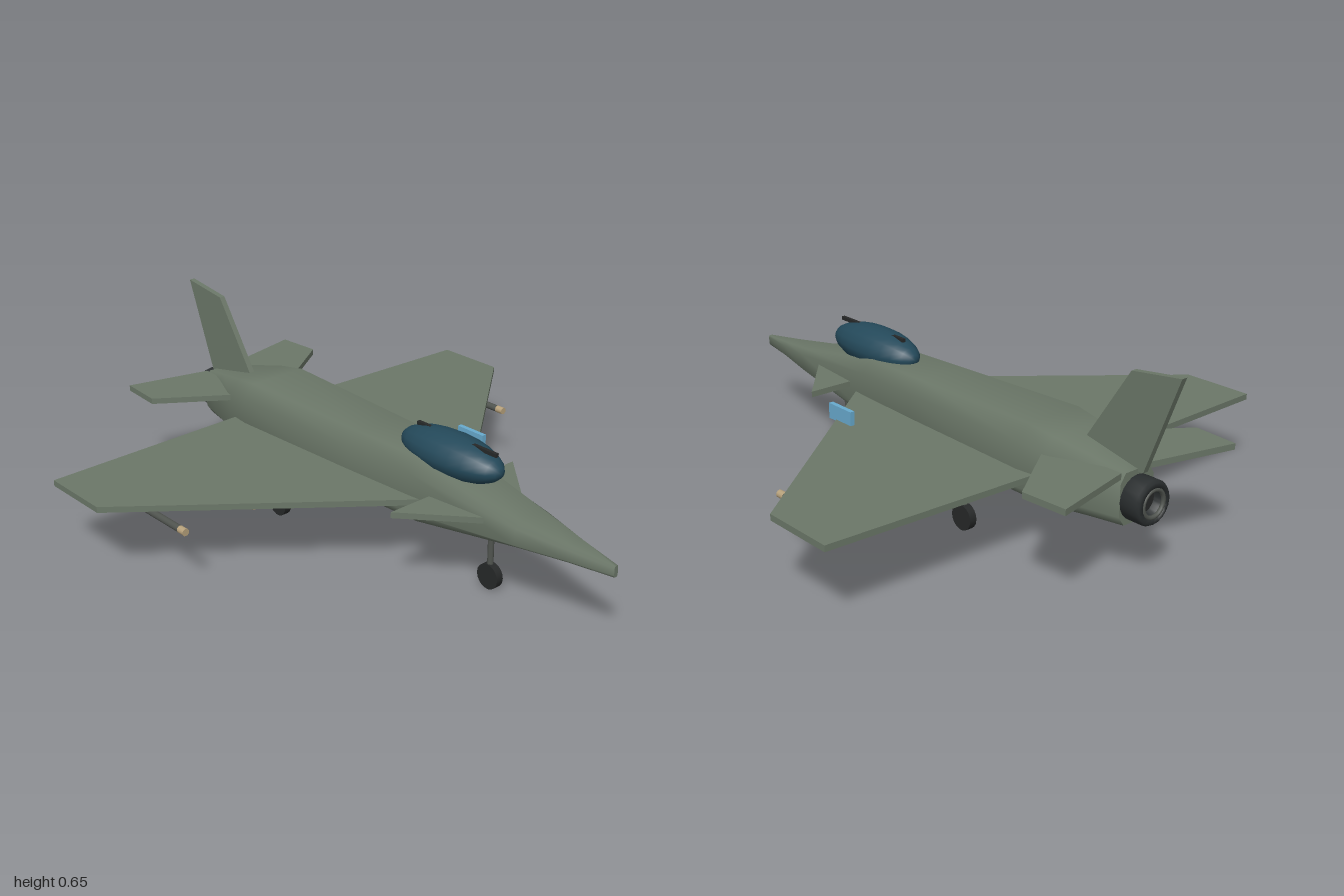
import * as THREE from 'three';

const mat = (color, side = THREE.FrontSide) => new THREE.MeshStandardMaterial({ color, side });
const olive = mat(0x6b7768);
const oliveDark = mat(0x4a5448);
const glass = mat(0x24495a);
const steel = mat(0x50544f);
const black = mat(0x262828);
const nozzleDark = mat(0x2b2f30, THREE.DoubleSide);
const tan = mat(0xb8a27c);
const blue = mat(0x68aace);

export function createModel() {
  const model = new THREE.Group();

  const add = (name, geometry, material, x = 0, y = 0, z = 0, parent = model) => {
    const mesh = new THREE.Mesh(geometry, material);
    mesh.name = name;
    mesh.position.set(x, y, z);
    parent.add(mesh);
    return mesh;
  };
  const ellipsoid = (rx, ry, rz) => new THREE.SphereGeometry(1, 16, 12).rotateX(Math.PI / 2).scale(rx, ry, rz);
  const rod = (r, length) => new THREE.CylinderGeometry(r, r, length, 12).rotateX(Math.PI / 2);
  const extrude = (points, depth) => new THREE.ExtrudeGeometry(
    new THREE.Shape(points.map(([a, b]) => new THREE.Vector2(a, b))), { depth, bevelEnabled: false });
  // Flat horizontal panel from [x, z] corners
  const plate = (points, side, thickness = 0.02) =>
    extrude(points.map(([x, z]) => [x * side, -z]), thickness).rotateX(-Math.PI / 2);

  // Fuselage: octagonal sections [z, half width, bottom, top]
  const sections = [
    [1.0, 0.008, 0.24, 0.276],
    [0.85, 0.04, 0.235, 0.291],
    [0.68, 0.076, 0.223, 0.312],
    [0.27, 0.117, 0.165, 0.388],
    [0.0, 0.132, 0.165, 0.392],
    [-0.52, 0.152, 0.165, 0.402],
    [-0.62, 0.14, 0.167, 0.387],
    [-0.75, 0.1, 0.172, 0.36],
    [-0.86, 0.07, 0.175, 0.338],
  ];
  const N = 8;
  const rings = sections.map(([z, w, b, t]) => {
    const cx = w * 0.3, cy = (t - b) * 0.19;
    return [[w, b + cy], [w, t - cy], [w - cx, t], [cx - w, t], [-w, t - cy], [-w, b + cy], [cx - w, b], [w - cx, b]]
      .map(([x, y]) => [x, y, z]);
  });
  const pos = rings.flat(2);
  const index = [];
  for (let s = 0; s < rings.length - 1; s++) {
    for (let i = 0; i < N; i++) {
      const a = s * N + i, b = s * N + (i + 1) % N;
      index.push(a, a + N, b, b, a + N, b + N);
    }
  }
  // End caps with their own vertices
  [[rings[0], 1], [rings[rings.length - 1], -1]].forEach(([ring, dir]) => {
    const base = pos.length / 3;
    pos.push(...ring.flat());
    for (let i = 1; i < N - 1; i++) {
      if (dir > 0) index.push(base, base + i, base + i + 1);
      else index.push(base, base + i + 1, base + i);
    }
  });
  const hull = new THREE.BufferGeometry();
  hull.setAttribute('position', new THREE.Float32BufferAttribute(pos, 3));
  hull.setIndex(index);
  hull.computeVertexNormals();
  add('fuselage', hull, olive);

  // Cockpit canopy and its spine rail
  add('canopy', ellipsoid(0.086, 0.07, 0.21), glass, 0, 0.4, 0.342);
  add('canopyRail', new THREE.BoxGeometry(0.012, 0.012, 0.34), black, 0, 0.456, 0.362);

  // Belly fairing and antenna
  add('bellyFairing', ellipsoid(0.07, 0.04, 0.14), oliveDark, 0, 0.175, 0.12);
  add('bellyAntenna', new THREE.CylinderGeometry(0.004, 0.004, 0.04, 8), black, 0, 0.155, 0.265);

  // Exhaust nozzle: hollow shell, inner ring and dark core
  const profile = [[0.04, -0.85], [0.07, -0.85], [0.07, -0.918], [0.064, -0.928], [0.046, -0.928], [0.04, -0.88]]
    .map(([r, z]) => new THREE.Vector2(r, z));
  add('nozzle', new THREE.LatheGeometry(profile, 20).rotateX(Math.PI / 2), nozzleDark, 0, 0.252, 0);
  add('nozzleRing', new THREE.TorusGeometry(0.043, 0.007, 8, 20), steel, 0, 0.252, -0.924);
  add('nozzleCore', rod(0.042, 0.04), black, 0, 0.252, -0.87);

  // Lifting surfaces, mirrored
  for (const side of [1, -1]) {
    const tag = side > 0 ? 'left' : 'right';
    add(tag + 'Wing', plate([[0.05, 0.367], [0.88, -0.308], [0.88, -0.562], [0.05, -0.588]], side), olive, 0, 0.248);
    add(tag + 'Canard', plate([[0.05, 0.61], [0.268, 0.355], [0.05, 0.355]], side), olive, 0, 0.272);
    add(tag + 'Tailplane', plate([[0.07, -0.565], [0.14, -0.612], [0.365, -0.768], [0.354, -0.925], [0.065, -0.857]], side),
      olive, 0, 0.322);

    // Underwing rails and missiles
    for (const x of [0.44, 0.705]) {
      const store = new THREE.Group();
      store.name = tag + 'Missile';
      store.position.set(side * x, 0.203, 0);
      add('pylon', new THREE.BoxGeometry(0.055, 0.018, 0.065), steel, 0, 0.022, -0.342, store);
      add('missileBody', rod(0.012, 0.235), steel, 0, 0, -0.238, store);
      add('missileTip', rod(0.0125, 0.03), tan, 0, 0, -0.107, store);
      model.add(store);
    }
  }

  // Vertical fin, corners as [-z, y]
  add('fin', extrude([[0.655, 0.375], [0.818, 0.622], [1.0, 0.646], [0.88, 0.33], [0.7, 0.33]], 0.02).rotateY(Math.PI / 2),
    olive, -0.02);

  // Sensor plate on one wing
  add('sensorPlate', new THREE.BoxGeometry(0.016, 0.052, 0.115), blue, 0.312, 0.289, 0.127);

  // Landing gear
  const gear = (name, x, z, top) => {
    const leg = new THREE.Group();
    leg.name = name;
    leg.position.set(x, 0, z);
    add('strut', new THREE.CylinderGeometry(0.01, 0.01, top - 0.045, 10), steel, 0, (top + 0.045) / 2, 0, leg);
    add('wheel', new THREE.CylinderGeometry(0.043, 0.043, 0.026, 18).rotateZ(Math.PI / 2), black, 0, 0.043, 0, leg);
    model.add(leg);
  };
  gear('noseGear', 0, 0.52, 0.215);
  gear('leftMainGear', 0.17, -0.31, 0.222);
  gear('rightMainGear', -0.17, -0.31, 0.222);

  return model;
}
